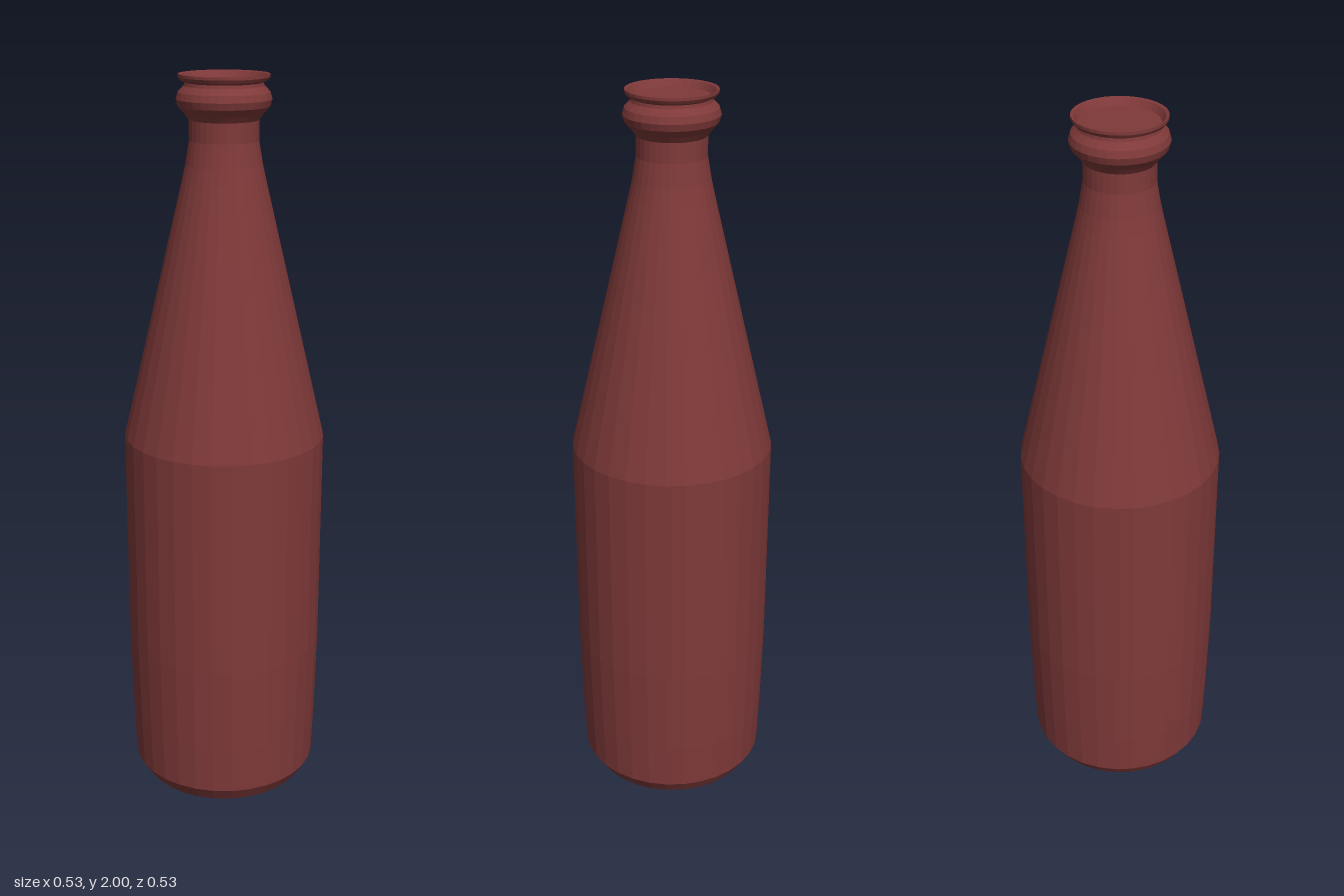
import * as THREE from 'three';

const SIDES = 32;

export function createModel() {
  const group = new THREE.Group();
  group.name = 'bottle';
  const glass = new THREE.MeshStandardMaterial({ color: 0x7f3939, flatShading: true, side: THREE.DoubleSide });
  glass.name = 'brownGlass';

  // Turned part from [radius, height] pairs, listed bottom to top
  const turned = (name, profile) => {
    const points = profile.map(([r, y]) => new THREE.Vector2(r, y));
    const mesh = new THREE.Mesh(new THREE.LatheGeometry(points, SIDES), glass);
    mesh.name = name;
    group.add(mesh);
  };

  // Rounded base
  turned('base', [[0, 0], [0.07, 0.013], [0.14, 0.028], [0.19, 0.047], [0.225, 0.07], [0.252, 0.112]]);

  // Slightly tapered body
  turned('body', [[0.252, 0.112], [0.257, 0.24], [0.263, 0.48], [0.265, 1.07]]);

  // Long shoulder running into the neck
  turned('shoulder', [[0.265, 1.07], [0.107, 1.74], [0.098, 1.78], [0.088, 1.84]]);
  turned('neck', [[0.088, 1.84], [0.088, 1.89]]);

  // Bulging ring below the mouth
  turned('neckRing', [[0.088, 1.89], [0.099, 1.905], [0.115, 1.923], [0.12, 1.94],
    [0.115, 1.957], [0.1, 1.972], [0.098, 1.98]]);

  // Flared lip around a shallow, closed mouth
  turned('lip', [[0.098, 1.98], [0.109, 1.985], [0.114, 1.993], [0.114, 2], [0.107, 1.998], [0.097, 1.982]]);
  const mouth = new THREE.Mesh(new THREE.CircleGeometry(0.097, SIDES), glass);
  mouth.name = 'mouth';
  mouth.rotation.x = -Math.PI / 2;
  mouth.position.y = 1.982;
  group.add(mouth);

  return group;
}
